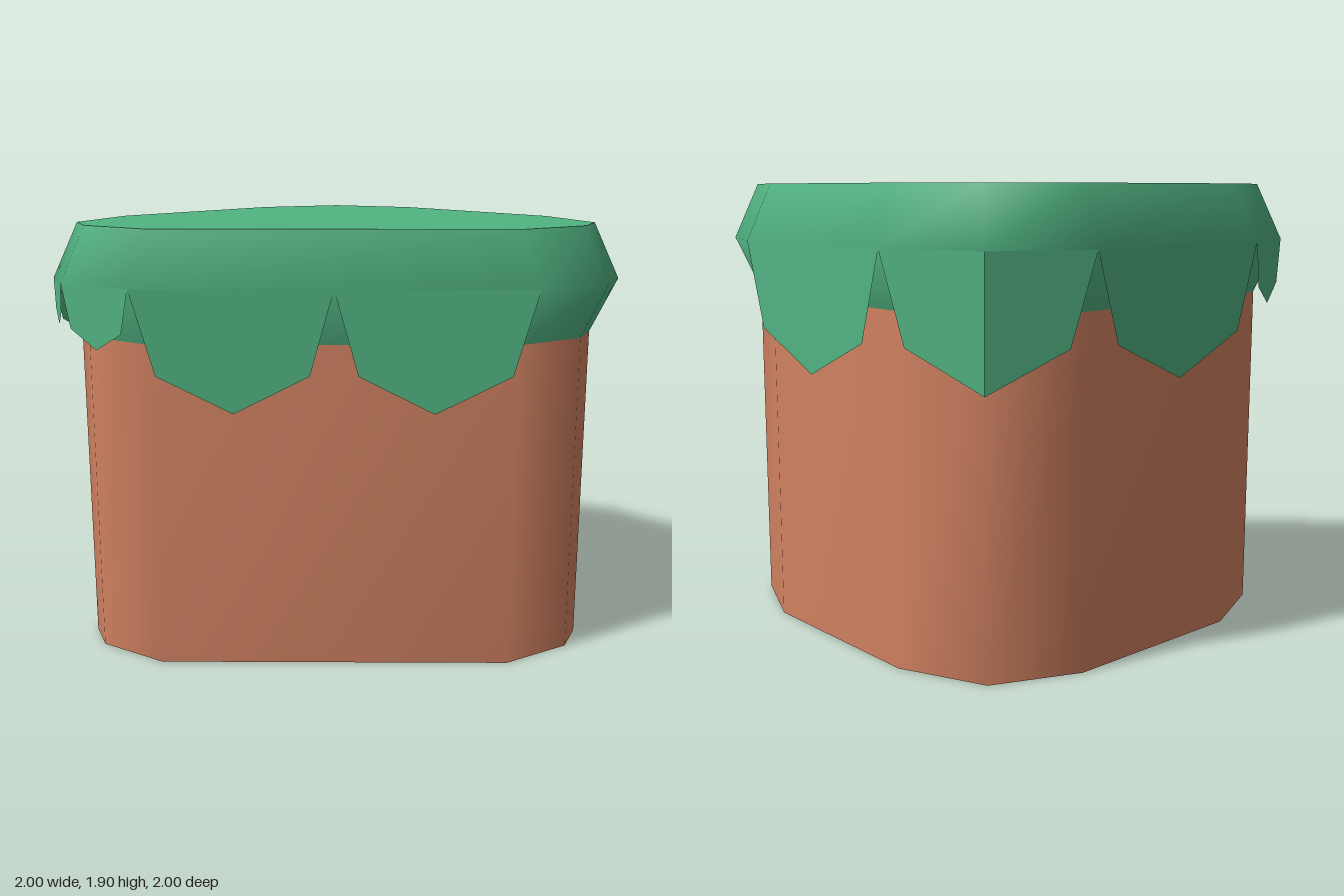
import * as THREE from 'three';

// Rim outline (x, z), running clockwise seen from above
const RIM = [
  [-0.43, -1], [0.515, -1], [0.92, -0.83], [1, -0.64], [0.92, -0.27], [-0.27, 0.92],
  [-0.64, 1], [-0.83, 0.915], [-1, 0.515], [-1, -0.43], [-0.83, -0.83],
];
const CORE = RIM.map(([x, z]) => [x * 0.908, z * 0.908]);
const RIM_Y = 1.66, CAP_BOTTOM = 1.425, TOP_Y = 1.9;

function makeGeometry(positions, index) {
  const g = new THREE.BufferGeometry();
  g.setAttribute('position', new THREE.Float32BufferAttribute(positions, 3));
  if (index) g.setIndex(index);
  g.computeVertexNormals();
  return g;
}

// Smooth wall through rings of [outline, y], listed from bottom to top
function wall(rings) {
  const n = RIM.length, positions = [], index = [];
  for (const [outline, y] of rings) for (const [x, z] of outline) positions.push(x, y, z);
  for (let r = 0; r < rings.length - 1; r++) {
    for (let i = 0; i < n; i++) {
      const a = r * n + i, b = r * n + (i + 1) % n;
      index.push(a, a + n, b, b, a + n, b + n);
    }
  }
  return makeGeometry(positions, index);
}

// Flat face filling the convex core outline
function face(y, up) {
  const positions = CORE.flatMap(([x, z]) => [x, y, z]), index = [];
  for (let i = 1; i < CORE.length - 1; i++) index.push(0, ...(up ? [i + 1, i] : [i, i + 1]));
  return makeGeometry(positions, index);
}

// Pointed flap hanging from the rim along start -> middle -> end
function drip(start, middle, end, shoulder, tip) {
  const at = (t) => {
    const [p, q, s] = t < 0.5 ? [start, middle, t * 2] : [middle, end, t * 2 - 1];
    return [p[0] + (q[0] - p[0]) * s, p[1] + (q[1] - p[1]) * s];
  };
  const stations = [[0, 0], [0.12, shoulder], [0.5, tip], [0.88, shoulder], [1, 0]];
  const positions = [];
  for (let i = 0; i < stations.length - 1; i++) {
    const [[t0, d0], [t1, d1]] = [stations[i], stations[i + 1]];
    const [x0, z0] = at(t0), [x1, z1] = at(t1);
    const a0 = [x0, RIM_Y - d0, z0], b0 = [x0, RIM_Y, z0];
    const a1 = [x1, RIM_Y - d1, z1], b1 = [x1, RIM_Y, z1];
    if (d0 > 0) positions.push(...a0, ...b0, ...a1);
    if (d1 > 0) positions.push(...a1, ...b0, ...b1);
  }
  return makeGeometry(positions);
}

export function createModel() {
  const model = new THREE.Group();
  model.name = 'grassBlock';
  const grass = new THREE.MeshStandardMaterial({ color: 0x51b382 });
  grass.name = 'grassGreen';
  const flap = new THREE.MeshStandardMaterial({ color: 0x51b382, side: THREE.DoubleSide });
  flap.name = 'grassFlapGreen';
  const earth = new THREE.MeshStandardMaterial({ color: 0xd08161 });
  earth.name = 'earthBrown';

  const add = (name, geometry, material) => {
    const mesh = new THREE.Mesh(geometry, material);
    mesh.name = name;
    model.add(mesh);
  };

  // Earth column
  add('earthSides', wall([[CORE, 0], [CORE, CAP_BOTTOM]]), earth);
  add('earthBottom', face(0, false), earth);

  // Grass cap bulging to the rim
  add('grassCap', wall([[CORE, CAP_BOTTOM], [RIM, RIM_Y], [CORE, TOP_Y]]), grass);
  add('grassTop', face(TOP_Y, true), grass);

  // Hanging grass: straight flaps between rim points
  const mid = (p, q) => [(p[0] + q[0]) / 2, (p[1] + q[1]) / 2];
  const diagonal = mid(RIM[4], RIM[5]);
  const straight = [
    ['backDrip', RIM[0], RIM[1], 0.36, 0.52],
    ['diagonalDripLeft', RIM[4], diagonal, 0.36, 0.52],
    ['diagonalDripRight', diagonal, RIM[5], 0.36, 0.52],
    ['frontDrip', RIM[5], RIM[6], 0.19, 0.27],
    ['frontSmallDrip', RIM[6], RIM[7], 0.13, 0.19],
    ['frontCornerDrip', RIM[7], RIM[8], 0.19, 0.27],
    ['sideDrip', RIM[8], RIM[9], 0.36, 0.52],
  ];
  for (const [name, p, q, shoulder, tip] of straight) {
    add(name, drip(p, mid(p, q), q, shoulder, tip), flap);
  }
  // One flap folds around the back corner
  add('backCornerDrip', drip(RIM[9], RIM[10], RIM[0], 0.36, 0.52), flap);

  return model;
}
